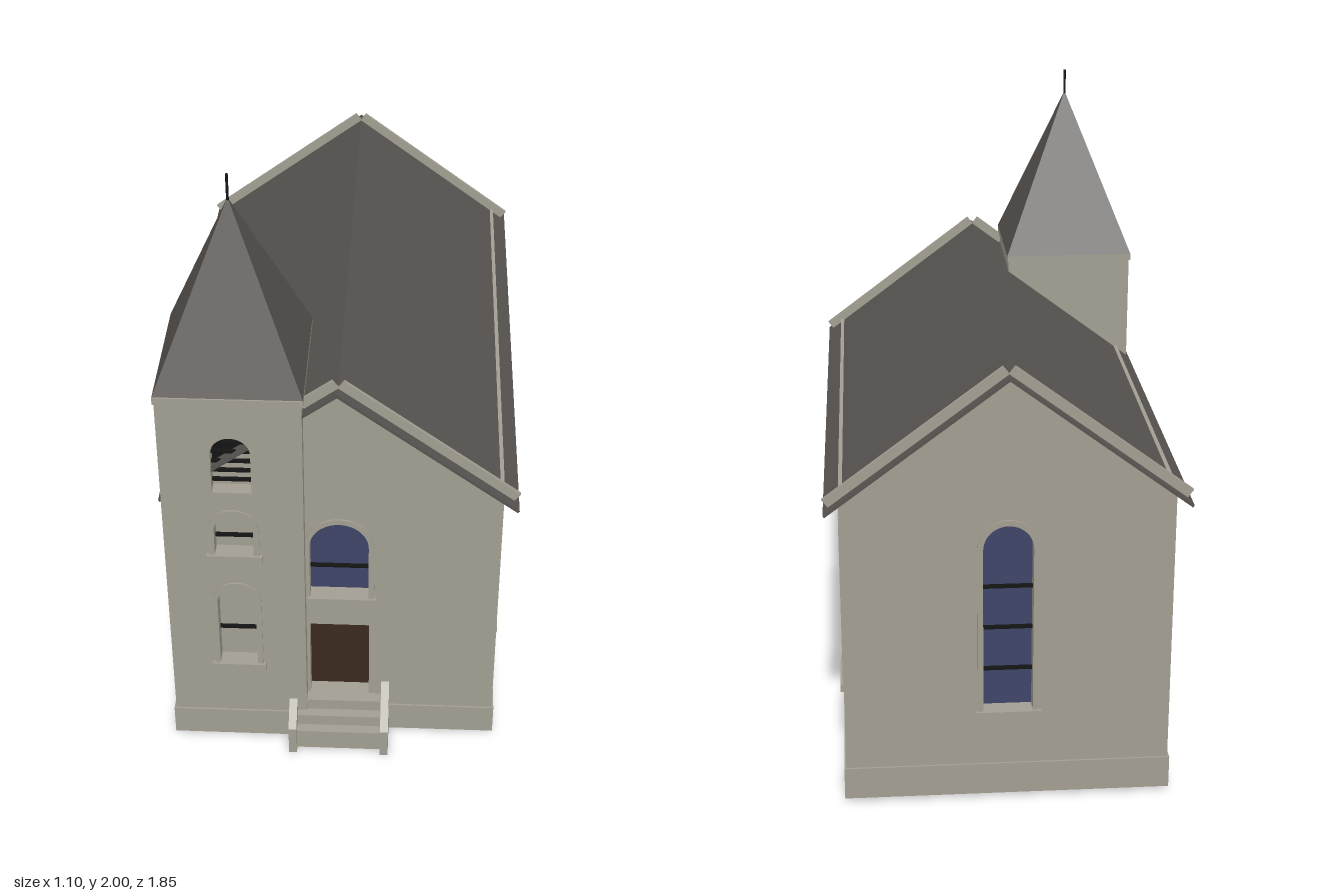
import * as THREE from 'three';

const mat = (name, color, side = THREE.FrontSide) => {
  const m = new THREE.MeshStandardMaterial({ color, side });
  m.name = name;
  return m;
};

export function createModel() {
  const model = new THREE.Group();
  model.name = 'chapel';
  const stone = mat('stone', 0xa29e92, THREE.DoubleSide);
  const slate = mat('slate', 0x575350);
  const glass = mat('blueGlass', 0x3e4468, THREE.DoubleSide);
  const wood = mat('doorWood', 0x3c2a20, THREE.DoubleSide);
  const iron = mat('blackIron', 0x141414, THREE.DoubleSide);

  const add = (parent, name, geo, material, x = 0, y = 0, z = 0) => {
    const m = new THREE.Mesh(geo, material);
    m.name = name;
    m.position.set(x, y, z);
    parent.add(m);
    return m;
  };
  // Box given by its lower and upper corners
  const box = (parent, name, material, x0, x1, y0, y1, z0, z1) =>
    add(parent, name, new THREE.BoxGeometry(x1 - x0, y1 - y0, z1 - z0), material,
      (x0 + x1) / 2, (y0 + y1) / 2, (z0 + z1) / 2);
  const polygon = (pts) => new THREE.Shape(pts.map(([x, y]) => new THREE.Vector2(x, y)));
  const extrude = (shape, depth) =>
    new THREE.ExtrudeGeometry(shape, { depth, bevelEnabled: false, curveSegments: 12 });

  // Opening outline: round-headed or square
  const opening = (cx, w, y0, y1, square) => {
    const s = new THREE.Shape();
    s.moveTo(cx - w, y0);
    s.lineTo(cx + w, y0);
    if (square) {
      s.lineTo(cx + w, y1);
      s.lineTo(cx - w, y1);
    } else {
      s.absarc(cx, y1 - w, w, 0, Math.PI, false);
    }
    s.closePath();
    return s;
  };

  // Flat wall facing local +z, with a recessed window for every opening
  const wall = (name, outline, openings, [x, z], turn) => {
    const g = new THREE.Group();
    g.name = name;
    g.position.set(x, 0, z);
    g.rotation.y = turn;
    model.add(g);
    const face = polygon(outline);
    for (const o of openings) {
      const hole = opening(o.x, o.w, o.y0, o.y1, o.square);
      face.holes.push(hole);
      const depth = 0.05;
      const ring = (t) => {
        const s = opening(o.x, o.w + t, o.y0 - (t < 0.01 ? t : 0), o.y1 + t, o.square);
        s.holes.push(hole);
        return s;
      };
      add(g, 'reveal', extrude(ring(0.003), depth), stone, 0, 0, -depth);
      add(g, 'pane', new THREE.ShapeGeometry(hole, 12), o.fill ?? glass, 0, 0, -depth + 0.002);
      if (o.frame) {
        add(g, 'frame', extrude(ring(o.frame), 0.006), stone);
        box(g, 'sill', stone, o.x - o.w - 0.026, o.x + o.w + 0.026, o.y0 - 0.022, o.y0 + 0.003, -0.02, 0.014);
      }
      for (const y of o.bars ?? [])
        box(g, 'bar', iron, o.x - o.w, o.x + o.w, y - 0.005, y + 0.005, -0.036, -0.026);
    }
    add(g, 'wallFace', new THREE.ShapeGeometry(face, 12), stone);
  };

  // Nave walls
  const base = 0.015, ridge = 1.4, pitch = 0.41 / 0.545;
  const eave = ridge - pitch * 0.5;
  const gable = [[-0.5, base], [0.5, base], [0.5, eave - 0.005], [0, ridge - 0.005], [-0.5, eave - 0.005]];
  const side = (a, b) => [[a, base], [b, base], [b, eave], [a, eave]];
  const tall = (x) => ({ x, w: 0.076, y0: 0.302, y1: 0.925, frame: 0.018, bars: [0.435, 0.575, 0.712] });
  const bays = [0.525, -0.03, -0.59];
  wall('frontGable', gable, [
    { x: 0, w: 0.092, y0: 0.583, y1: 0.885, frame: 0.018, bars: [0.69] },
    { x: 0, w: 0.095, y0: 0.165, y1: 0.467, square: true, fill: wood },
  ], [0, 0.81], 0);
  wall('backGable', gable, [tall(0)], [0, -0.88], Math.PI);
  wall('leftWall', side(-0.81, 0.88), bays.map((z) => tall(-z)), [0.5, 0], Math.PI / 2);
  wall('rightWall', side(-0.88, 0.81), bays.map(tall), [-0.5, 0], -Math.PI / 2);

  // Tower walls
  const tx0 = -0.536, tx1 = -0.105, tz0 = 0.428, tz1 = 0.855, top = 1.38;
  const tcx = -0.32, tcz = 0.637;
  const rect = (a, b) => [[a, base], [b, base], [b, top], [a, top]];
  const stack = (x) => [
    { x, w: 0.06, y0: 0.332, y1: 0.655, frame: 0.018, bars: [0.46] },
    { x, w: 0.06, y0: 0.787, y1: 0.947, frame: 0.018, bars: [0.842] },
    { x, w: 0.06, y0: 1.03, y1: 1.235, fill: iron, bars: [1.06, 1.095, 1.13, 1.165, 1.2] },
  ];
  wall('towerFront', rect(tx0, tx1), stack(tcx), [0, tz1], 0);
  wall('towerRight', rect(tz0, tz1), stack(tcz), [tx0, 0], -Math.PI / 2);
  wall('towerLeft', rect(-tz1, -tz0), [], [tx1, 0], Math.PI / 2);
  // The back wall stays above the roof inside the nave and full height outside it
  wall('towerBack', [[-tx1, top], [-tx0, top], [-tx0, base], [0.5, base], [0.5, eave],
    [-tx1, ridge + pitch * tx1]], [], [0, tz0], Math.PI);
  box(model, 'towerCornice', stone, -0.54, -0.1, 1.357, top, 0.418, 0.862);

  // Plinths: thin bands round the foot of the walls
  const out = 0.006;
  const band = (x0, x1, z0, z1) => box(model, 'plinth', stone, x0, x1, base, 0.12, z0, z1);
  band(0.5, 0.5 + out, -0.88 - out, 0.81 + out);
  band(-0.5 - out, -0.5, -0.88 - out, tz0);
  band(-0.5, 0.5, -0.88 - out, -0.88);
  band(0.14, 0.5, 0.81, 0.81 + out);
  band(tx0 - out, tx0, tz0 - out, tz1 + out);
  band(tx0, tx1, tz1, tz1 + out);
  band(tx0, -0.5, tz0 - out, tz0);

  // Sloping slab following the roof pitch, lo and hi measured square to it
  const n = new THREE.Vector2(pitch, 1).normalize();
  const slope = (name, material, s, xEnd, lo, hi, z0, z1) => {
    const p = (x, d) => [s * (x + n.x * d), ridge - pitch * x + n.y * d];
    add(model, name, extrude(polygon([p(0, lo), p(xEnd, lo), p(xEnd, hi), p(0, hi)]), z1 - z0), material, 0, 0, z0);
  };
  for (const s of [-1, 1]) {
    slope('roof', slate, s, 0.545, -0.008, 0, -0.92, s > 0 ? 0.855 : 0.85);
    slope('backRake', stone, s, 0.53, 0, 0.03, -0.885, -0.873);
    slope('frontRake', stone, s, s > 0 ? 0.53 : 0.1, 0, 0.03, 0.806, 0.818);
    box(model, 'eaveStrip', stone, s * 0.494 - 0.006, s * 0.494 + 0.006, 1.01, 1.036, -0.88, s > 0 ? 0.81 : tz0);
  }

  // Spire and finial
  const spire = new THREE.ConeGeometry(0.22 * Math.SQRT2, 1.925 - top, 4, 1).toNonIndexed();
  spire.rotateY(Math.PI / 4);
  spire.computeVertexNormals();
  add(model, 'spire', spire, slate, tcx, (1.925 + top) / 2, tcz);
  add(model, 'finial', new THREE.CylinderGeometry(0.004, 0.004, 0.09, 8), iron, tcx, 1.955, tcz);

  // Entrance steps between sloping cheek walls
  [[0.085, 0.912], [0.125, 0.88], [0.165, 0.848]].forEach(([y, z]) =>
    box(model, 'step', stone, -0.138, 0.138, 0.012, y, 0.81, z));
  for (const x of [-0.162, 0.136]) {
    const cheek = extrude(polygon([[-0.81, 0], [-0.81, 0.22], [-0.925, 0.105], [-0.925, 0]]), 0.026);
    cheek.rotateY(Math.PI / 2);
    add(model, 'stepCheek', cheek, stone, x, 0, 0);
  }
  return model;
}
